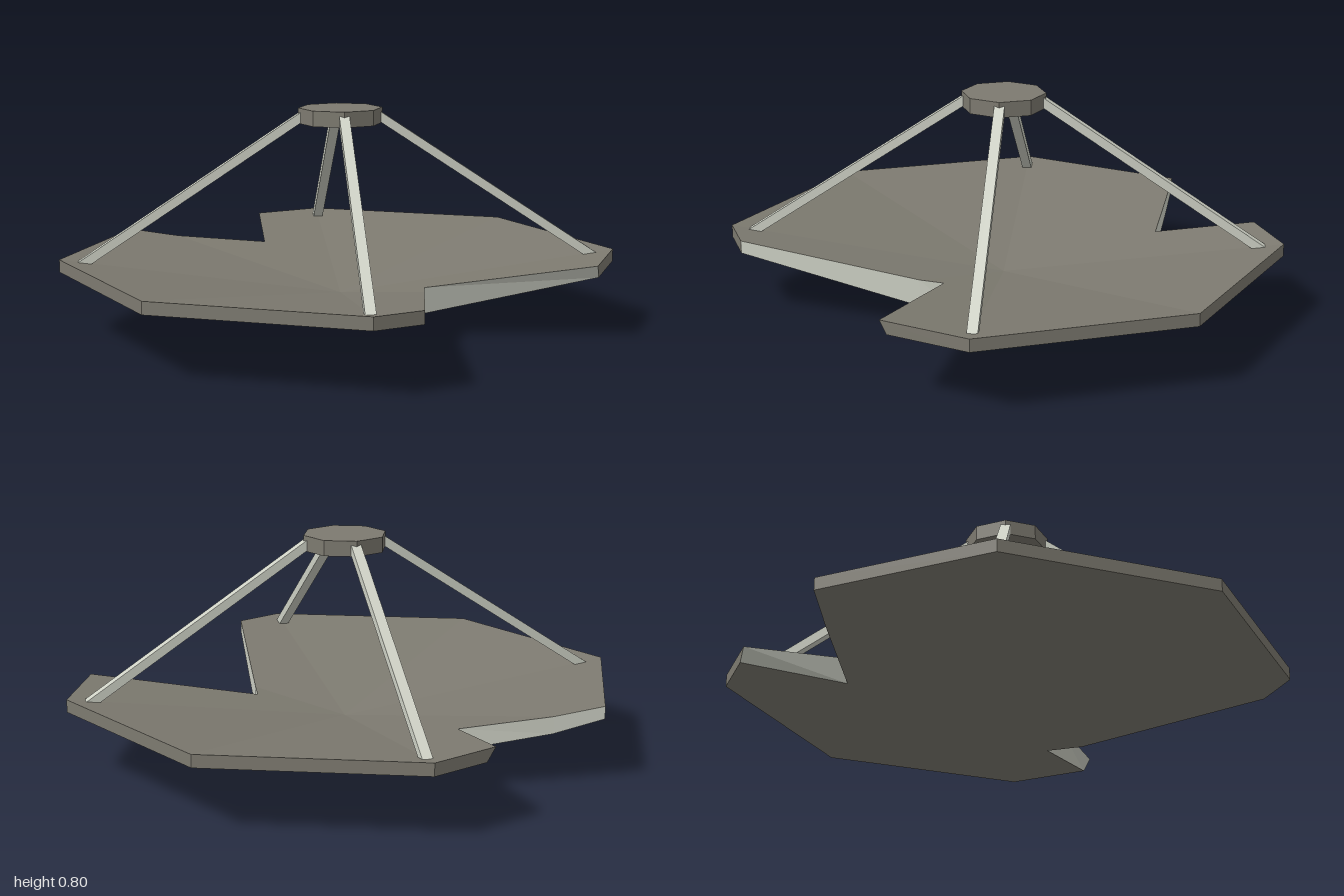
import * as THREE from 'three';

const darkMaterial = new THREE.MeshStandardMaterial({ color: 0x7d7a70, flatShading: true });
const lightMaterial = new THREE.MeshStandardMaterial({ color: 0xcfd2c6, flatShading: true });

// Octagonal radius: 1 on the rim of an octagon with corners on the axes
function octRadius([x, z]) {
  const a = Math.abs(x), b = Math.abs(z);
  return Math.max(a, b) + Math.min(a, b) * Math.tan(Math.PI / 8);
}

const top = (p) => [p[0], 0.13 + 0.14 * octRadius(p), p[1]];
const bottom = (p) => [p[0], 0.225 * octRadius(p), p[1]];

function triangles(positions) {
  const geometry = new THREE.BufferGeometry();
  geometry.setAttribute('position', new THREE.Float32BufferAttribute(positions, 3));
  geometry.computeVertexNormals();
  return geometry;
}

// Shallow octagonal cone shell; each outline entry is a plan point on the upper
// side and, where the edge is slanted, a second one on the lower side
function dishGeometries(outline) {
  const shell = [], cuts = [];
  outline.forEach(([p, pLow = p], i) => {
    const [q, qLow = q] = outline[(i + 1) % outline.length];
    shell.push(...top([0, 0]), ...top(q), ...top(p));
    shell.push(...bottom([0, 0]), ...bottom(pLow), ...bottom(qLow));
    const isCut = Math.min(octRadius(p), octRadius(q)) < 0.98;
    (isCut ? cuts : shell).push(
      ...bottom(pLow), ...top(p), ...top(q),
      ...bottom(pLow), ...top(q), ...bottom(qLow),
    );
  });
  return { shell: triangles(shell), cuts: triangles(cuts) };
}

export function createModel() {
  const group = new THREE.Group();
  const add = (name, geometry, material, parent = group) => {
    const mesh = new THREE.Mesh(geometry, material);
    mesh.name = name;
    parent.add(mesh);
    return mesh;
  };

  // Dish with two notches, each with one undercut wall
  const d = Math.SQRT1_2;
  const { shell, cuts } = dishGeometries([
    [[1, 0]],
    [[0.87, 0.305], [0.88, 0.28]], [[0.28, 0.18], [0.28, 0.14]],
    [[0.267, 0.267]], [[0.17, 0.925]],
    [[0, 1]], [[-d, d]], [[-1, 0]],
    [[-0.755, -0.59]], [[-0.573, -0.572]],
    [[-0.24, -0.54], [-0.205, -0.54]], [[-0.24, -0.9], [-0.205, -0.915]],
    [[0, -1]], [[d, -d]],
  ]);
  add('dish', shell, darkMaterial);
  add('notchWalls', cuts, lightMaterial);

  // Receiver hub above the centre
  add('hub', new THREE.CylinderGeometry(0.15, 0.15, 0.055, 8).translate(0, 0.7725, 0), darkMaterial);

  // Four square struts from rim to hub
  const low = new THREE.Vector2(0.93, 0.245), high = new THREE.Vector2(0.13, 0.775);
  const strut = new THREE.BoxGeometry(0.031, low.distanceTo(high), 0.036);
  strut.rotateZ(Math.atan2(low.x - high.x, high.y - low.y));
  strut.translate((low.x + high.x) / 2, (low.y + high.y) / 2, 0);
  const struts = new THREE.Group();
  struts.name = 'struts';
  group.add(struts);
  ['leftStrut', 'backStrut', 'rightStrut', 'frontStrut'].forEach((name, i) => {
    add(name, strut, lightMaterial, struts).rotation.y = i * Math.PI / 2;
  });

  return group;
}
